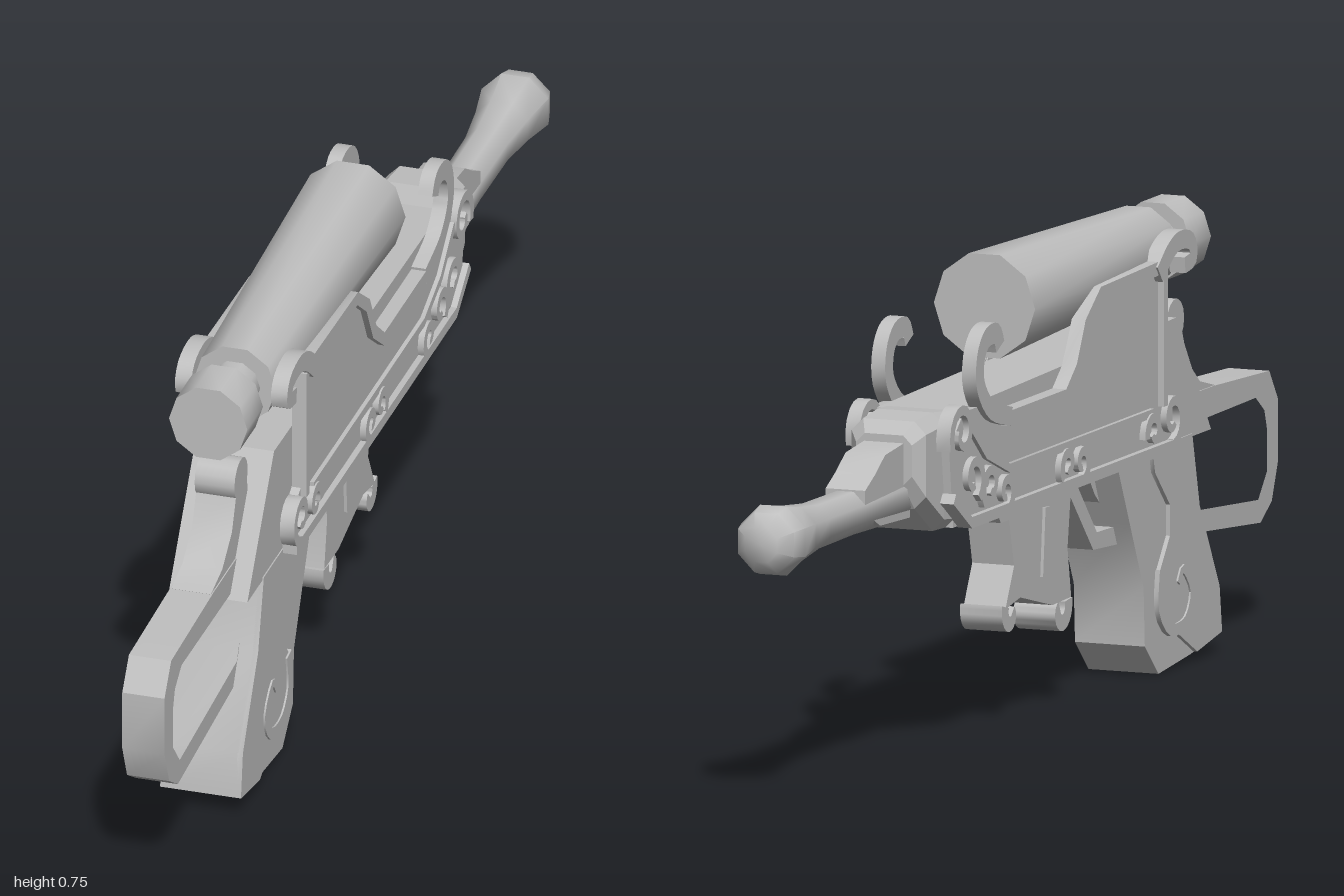
import * as THREE from 'three';
import { toCreasedNormals } from 'three/addons/utils/BufferGeometryUtils.js';
import { ConvexGeometry } from 'three/addons/geometries/ConvexGeometry.js';

export function createModel() {
  const group = new THREE.Group();
  const grey = new THREE.MeshStandardMaterial({ color: 0xbfbfbf });
  grey.name = 'plain grey';

  const add = (name, geo) => {
    const mesh = new THREE.Mesh(geo, grey);
    mesh.name = name;
    group.add(mesh);
    return mesh;
  };
  const vecs = (pts) => pts.map(([z, y]) => new THREE.Vector2(z, y));

  // Side outline given as [z, y], extruded across x from x0 to x1
  const slab = (name, pts, x0, x1, hole) => {
    const shape = new THREE.Shape(vecs(pts));
    if (hole) shape.holes.push(new THREE.Path(vecs(hole)));
    const geo = new THREE.ExtrudeGeometry(shape, { depth: x1 - x0, bevelEnabled: false });
    geo.rotateY(-Math.PI / 2).translate(x1, 0, 0);
    return add(name, toCreasedNormals(geo, 0.6));
  };
  const centred = (name, pts, half, hole) => slab(name, pts, -half, half, hole);
  const bothSides = (name, pts, x0, x1) => {
    slab(name + 'Left', pts, x0, x1);
    slab(name + 'Right', pts, -x1, -x0);
  };

  // Outline of a band that follows a path, tapering from width w0 to w1
  const band = (path, w0, w1 = w0) => {
    const a = [], b = [], last = path.length - 1;
    path.forEach(([z, y], i) => {
      const p = path[Math.max(i - 1, 0)], q = path[Math.min(i + 1, last)];
      const dz = q[0] - p[0], dy = q[1] - p[1], len = Math.hypot(dz, dy);
      const h = (w0 + (w1 - w0) * i / last) / 2;
      a.push([z - dy / len * h, y + dz / len * h]);
      b.unshift([z + dy / len * h, y - dz / len * h]);
    });
    return a.concat(b);
  };
  const smooth = (pts, n) => new THREE.SplineCurve(vecs(pts)).getPoints(n).map((p) => [p.x, p.y]);
  const spiral = (z, y, r, start, sweep) => Array.from({ length: 19 }, (_, i) => {
    const t = i / 18, a = start + sweep * t, rr = r * (1 - 0.75 * t);
    return [z + Math.cos(a) * rr, y + Math.sin(a) * rr];
  });

  // Turned parts along z, profile as [radius, z]
  const turned = (name, profile, sides, y) => {
    const geo = new THREE.LatheGeometry(vecs(profile), sides, Math.PI / sides);
    geo.rotateX(Math.PI / 2).translate(0, y, 0);
    return add(name, toCreasedNormals(geo, 0.85));
  };

  // Receiver with a chamfered nose
  centred('receiver', [[0.66, 0.365], [0.52, 0.565], [-0.38, 0.55], [-0.38, 0.365]], 0.065);
  const nose = [];
  const section = (z, w, y0, y1, c) => [-1, 1].forEach((s) => nose.push(
    new THREE.Vector3(s * w, y0 + c, z), new THREE.Vector3(s * (w - c), y0, z),
    new THREE.Vector3(s * w, y1 - c, z), new THREE.Vector3(s * (w - c), y1, z)));
  section(-0.36, 0.067, 0.365, 0.55, 0.012);
  section(-0.42, 0.067, 0.365, 0.555, 0.02);
  section(-0.485, 0.064, 0.41, 0.55, 0.02);
  section(-0.505, 0.048, 0.45, 0.53, 0.015);
  add('receiverNose', new ConvexGeometry(nose));
  centred('lowerRail', [[0.17, 0.37], [0.17, 0.335], [-0.14, 0.335], [-0.165, 0.37]], 0.045);

  // Barrel
  turned('barrel', [[0, -1], [0.03, -1], [0.052, -0.98], [0.06, -0.95], [0.047, -0.88],
    [0.038, -0.8], [0.037, -0.66], [0.042, -0.48], [0, -0.48]], 8, 0.428);
  centred('barrelBlock', [[-0.48, 0.52], [-0.58, 0.51], [-0.62, 0.485], [-0.66, 0.465],
    [-0.66, 0.43], [-0.6, 0.40], [-0.48, 0.395]], 0.034);

  // Scope
  turned('scopeBody', [[0, -0.1], [0.087, -0.1], [0.068, 0.52], [0, 0.52]], 10, 0.674);
  turned('scopeNeck', [[0.042, 0.5], [0.042, 0.6]], 10, 0.674);
  turned('scopeEyepiece', [[0, 0.578], [0.065, 0.578], [0.065, 0.66], [0, 0.66]], 10, 0.674);

  // Open stock with a curled hook on top
  centred('stock', [[0.965, 0.41], [1, 0.36], [1, 0.26], [0.975, 0.2], [0.93, 0.172],
    [0.56, 0.205], [0.55, 0.42], [0.74, 0.42]], 0.035,
  [[0.91, 0.375], [0.945, 0.35], [0.955, 0.32], [0.955, 0.25], [0.92, 0.21], [0.62, 0.235],
    [0.59, 0.3], [0.585, 0.372]]);
  centred('stockNeck', [[0.75, 0.42], [0.69, 0.435], [0.64, 0.475], [0.615, 0.535],
    [0.56, 0.53], [0.55, 0.38], [0.7, 0.38]], 0.033);
  const hook = new THREE.CylinderGeometry(0.035, 0.035, 0.066, 14);
  hook.rotateZ(Math.PI / 2).translate(0, 0.547, 0.592);
  add('stockHook', hook);

  // Grip with raised rear panels and a scroll
  centred('grip', [[0.58, 0.37], [0.61, 0.25], [0.69, 0.11], [0.7, 0.035], [0.59, 0.015],
    [0.46, 0.003], [0.405, 0.055], [0.4, 0.15], [0.345, 0.26], [0.29, 0.37]], 0.06);
  bothSides('gripPanel', [[0.58, 0.37], [0.61, 0.25], [0.69, 0.11], [0.7, 0.035], [0.6, 0.018],
    [0.5, 0.07], [0.455, 0.1], [0.45, 0.17], [0.49, 0.22], [0.49, 0.27], [0.43, 0.33],
    [0.42, 0.37]], 0.058, 0.067);
  bothSides('gripScroll', band(smooth([[0.455, 0.17], [0.45, 0.11], [0.49, 0.07], [0.55, 0.075],
    [0.575, 0.12], [0.54, 0.16], [0.52, 0.14]], 18), 0.025, 0.012), 0.062, 0.07);

  // Trigger and guard
  centred('triggerGuard', band([[0.4, 0.225], [0.365, 0.238], [0.275, 0.242], [0.18, 0.345]], 0.03), 0.03);
  centred('trigger', band([[0.29, 0.37], [0.32, 0.32], [0.37, 0.27]], 0.045, 0.015), 0.015);

  // Magazine with curled feet
  centred('magazine', [[0.165, 0.35], [0.15, 0.25], [0.165, 0.17], [0.09, 0.168], [-0.04, 0.2],
    [-0.1, 0.19], [-0.065, 0.255], [-0.09, 0.35]], 0.036);
  centred('magazineRearFoot', band(spiral(0.125, 0.155, 0.032, 0.4, -4.2), 0.03, 0.022), 0.036);
  centred('magazineFrontFoot', band(spiral(-0.077, 0.18, 0.026, 2.6, 4), 0.028, 0.02), 0.036);
  bothSides('magazineRib', band([[0.06, 0.33], [0.05, 0.22]], 0.02), 0.034, 0.041);

  // Side plates with a raised rim
  bothSides('sidePlate', [[0.47, 0.37], [0.47, 0.43], [0.42, 0.46], [0.42, 0.665], [0.16, 0.665],
    [0.1, 0.62], [0.06, 0.555], [0.02, 0.52], [-0.23, 0.52], [-0.3, 0.55], [-0.37, 0.55],
    [-0.43, 0.5], [-0.42, 0.42], [-0.36, 0.37]], 0.064, 0.08);
  bothSides('plateTopRim', band([[0.41, 0.665], [0.16, 0.66], [0.105, 0.62], [0.07, 0.555],
    [0.02, 0.517], [-0.22, 0.517]], 0.022), 0.066, 0.09);
  bothSides('plateRearRim', band([[0.42, 0.66], [0.42, 0.44]], 0.016), 0.066, 0.09);
  bothSides('plateBottomRim', band([[0.48, 0.372], [-0.36, 0.372], [-0.43, 0.42]], 0.018), 0.066, 0.09);
  bothSides('plateMidRim', band([[0.38, 0.435], [-0.2, 0.435], [-0.29, 0.47], [-0.36, 0.53]], 0.014),
    0.07, 0.087);

  // Large curls at both ends of the plates
  bothSides('rearCurl', band(smooth([[0.39, 0.655], [0.43, 0.685], [0.47, 0.698], [0.515, 0.69],
    [0.525, 0.663], [0.49, 0.655]], 20), 0.034, 0.026), 0.066, 0.093);
  bothSides('frontCurl', band(smooth([[-0.2, 0.518], [-0.28, 0.54], [-0.325, 0.585], [-0.325, 0.63],
    [-0.3, 0.658], [-0.262, 0.66], [-0.247, 0.637]], 24), 0.03, 0.035), 0.066, 0.09);

  // Small scrolls along the lower edge: [z, y, radius, start angle, sweep]
  [[0.45, 0.415, 0.042, -1.5, 7], [0.375, 0.405, 0.03, 3.4, -6],
    [0.085, 0.4, 0.028, -1.2, 6], [0.03, 0.405, 0.028, 4, -6],
    [-0.22, 0.4, 0.03, -1.2, 6], [-0.28, 0.42, 0.035, 4, -6],
    [-0.35, 0.44, 0.04, -1, 6], [-0.395, 0.52, 0.048, 3.6, -7]].forEach(([z, y, r, a, s], i) =>
    bothSides('scroll' + (i + 1), band(spiral(z, y, r, a, s), 0.018, 0.012), 0.066, 0.09));

  return group;
}
